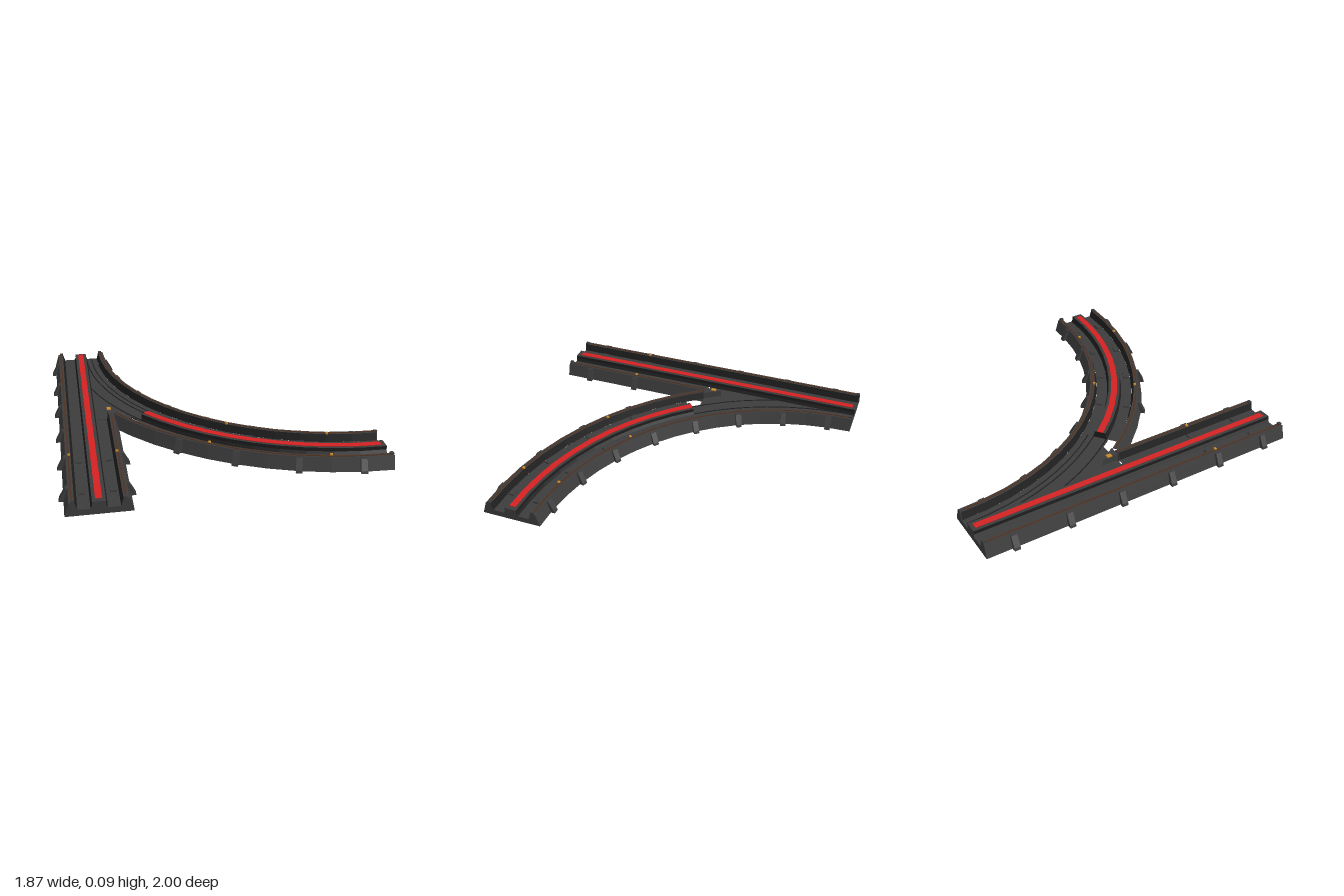
import * as THREE from 'three';

const mat = (name, color) => {
  const m = new THREE.MeshStandardMaterial({ color, side: THREE.DoubleSide });
  m.name = name;
  return m;
};
const DEG = Math.PI / 180;

// Paths: u is the offset across the track, t runs along it
const straight = (u, t) => [-0.73 + u, t];
const curve = (u, a) => [0.93 - (1.66 + u) * Math.cos(a * DEG), -1 + (1.66 + u) * Math.sin(a * DEG)];

export function createModel() {
  const grey = mat('track grey', 0x3c3c3c);
  const black = mat('groove black', 0x1e1e1e);
  const red = mat('stripe red', 0xd42222);
  const brown = mat('rail brown', 0x50301f);
  const gold = mat('contact gold', 0xc98a2a);
  const model = new THREE.Group();

  const addMesh = (name, geometry, material) => {
    const mesh = new THREE.Mesh(geometry, material);
    mesh.name = name;
    model.add(mesh);
  };

  // Sweep a cross-section [u, y] along a path; closed sections get end caps
  function sweep(name, pts, path, t0, t1, steps, material, closed = false) {
    const v = [];
    const put = ([u, y], t) => {
      const [x, z] = path(u, t);
      v.push(x, y, z);
    };
    const edges = closed ? pts.length : pts.length - 1;
    for (let i = 0; i < steps; i++) {
      const a = t0 + (t1 - t0) * i / steps, b = t0 + (t1 - t0) * (i + 1) / steps;
      for (let j = 0; j < edges; j++) {
        const p = pts[j], q = pts[(j + 1) % pts.length];
        put(p, a); put(q, a); put(q, b);
        put(p, a); put(q, b); put(p, b);
      }
    }
    if (closed) {
      const tris = THREE.ShapeUtils.triangulateShape(pts.map(p => new THREE.Vector2(...p)), []);
      for (const f of tris) {
        f.forEach(k => put(pts[k], t0));
        [...f].reverse().forEach(k => put(pts[k], t1));
      }
    }
    const g = new THREE.BufferGeometry();
    g.setAttribute('position', new THREE.Float32BufferAttribute(v, 3));
    g.computeVertexNormals();
    addMesh(name, g, material);
  }
  const block = (name, u0, u1, y0, y1, path, t0, t1, steps, material) =>
    sweep(name, [[u0, y0], [u1, y0], [u1, y1], [u0, y1]], path, t0, t1, steps, material, true);

  // Half cross-section, from the outer foot to the centre slot
  const flip = (pts, s) => pts.map(([u, y]) => [u * s, y]);
  const wall = (path, s, t0, t1, n) => {
    sweep('sideWall', flip([[0.18, 0], [0.155, 0.08], [0.125, 0.08]], s), path, t0, t1, n, grey);
    sweep('wallInnerFace', flip([[0.125, 0.08], [0.112, 0.035]], s), path, t0, t1, n, black);
    block('sideRail', s * 0.135, s * 0.144, 0.079, 0.083, path, t0, t1, n, brown);
  };
  const deck = (path, s, t0, t1, n) =>
    sweep('laneDeck', flip([[0.112, 0.035], [0.045, 0.035]], s), path, t0, t1, n, grey);
  const ridge = (path, s, t0, t1, n) => {
    sweep('ridgeSide', flip([[0.045, 0.035], [0.036, 0.053], [0.036, 0.075]], s), path, t0, t1, n, black);
    sweep('ridgeTop', flip([[0.036, 0.075], [0.018, 0.075]], s), path, t0, t1, n, grey);
  };

  // Straight track
  wall(straight, -1, -1, 1, 1);
  wall(straight, 1, 0, 1, 1);
  deck(straight, -1, -1, 1, 1);
  deck(straight, 1, 0, 1, 1);
  // Curved track
  wall(curve, -1, 0, 90, 16);
  wall(curve, 1, 34, 90, 10);
  for (const s of [-1, 1]) {
    ridge(straight, s, -1, 1, 1);
    deck(curve, s, 38, 90, 10);
    ridge(curve, s, 38, 90, 10);
  }

  // Red centre stripes with grey ends
  block('straightStripe', -0.018, 0.018, 0.069, 0.078, straight, -0.98, 0.97, 1, red);
  block('curvedStripe', -0.019, 0.019, 0.069, 0.078, curve, 38, 89.1, 10, red);
  const slot = [[-0.018, 0.075], [0.018, 0.075]];
  sweep('ridgeEnd', slot, straight, -1, -0.98, 1, grey);
  sweep('ridgeEnd', slot, straight, 0.97, 1, 1, grey);
  sweep('ridgeEnd', slot, curve, 89.1, 90, 1, grey);

  // End plates closing the hollow shell
  const half = [[0.18, 0], [0.155, 0.08], [0.125, 0.08], [0.112, 0.035], [0.045, 0.035],
    [0.036, 0.053], [0.036, 0.075]];
  const full = [...half, ...flip(half, -1).reverse()];
  sweep('endPlate', full, straight, 0.996, 1, 1, grey, true);
  sweep('endPlate', full, straight, -1, -0.996, 1, grey, true);
  sweep('endPlate', full, curve, 89.87, 90, 1, grey, true);
  sweep('junctionWallEnd', half.slice(0, 4).concat([[0.112, 0]]), straight, 0, 0.004, 1, grey, true);
  sweep('curvedRidgeEnd', [...half.slice(4), ...flip(half.slice(4), -1).reverse()],
    curve, 38, 38.12, 1, black, true);
  for (const s of [-1, 1]) {
    block('endNub', s * 0.125, s * 0.145, 0.075, 0.09, straight, 0.98, 1, 1, grey);
    block('endNub', s * 0.125, s * 0.145, 0.075, 0.09, curve, 89.3, 90, 1, grey);
    block('endNub', s * 0.125, s * 0.145, 0.075, 0.09, straight, -1, -0.98, 1, grey);
  }

  // Flat junction plate where the curve leaves the straight
  const flat = (name, pts, y0, y1, material) => {
    const g = new THREE.ExtrudeGeometry(new THREE.Shape(pts.map(([x, z]) => new THREE.Vector2(x, -z))),
      { depth: y1 - y0, bevelEnabled: false });
    g.rotateX(-Math.PI / 2);
    g.translate(0, y0, 0);
    addMesh(name, g, material);
  };
  const innerArc = [];
  for (let i = 0; i <= 10; i++) innerArc.push(curve(-0.113, i * 3.8));
  const outerEdge = [curve(0.05, 38), [-0.46, -0.008]];
  flat('junctionPlate', [[-0.69, -0.996], ...innerArc, ...outerEdge, [-0.69, -0.008]], 0.031, 0.035, grey);
  flat('junctionUnderside', [[-0.84, -0.99], ...innerArc, ...outerEdge, [-0.84, -0.008]], 0.026, 0.031, black);
  // Guide lines across the plate
  block('guideLine', -0.043, -0.037, 0.034, 0.038, curve, 3, 38, 8, black);
  block('guideLine', 0.037, 0.043, 0.034, 0.038, curve, 18, 38, 5, black);
  block('guideLine', -0.078, -0.072, 0.034, 0.037, curve, 0.5, 38, 8, black);
  // Wedge between the two lanes
  flat('junctionWedge', [[-0.61, -0.108], [-0.543, -0.004], [-0.61, -0.004]], 0.03, 0.078, grey);
  block('wedgeContact', 0.118, 0.142, 0.077, 0.084, straight, -0.076, -0.044, 1, gold);

  // Buttresses along the outside walls
  const rib = [[0.15, 0], [0.205, 0], [0.2, 0.015], [0.168, 0.075], [0.15, 0.075]];
  const ribAt = (path, s, t, h) => sweep('buttress', flip(rib, s), path, t - h, t + h, 1, grey, true);
  for (let k = 0; k < 6; k++) {
    const z = -5 / 6 + k / 3;
    ribAt(straight, -1, z, 0.018);
    if (k > 3) ribAt(straight, 1, z, 0.018);
  }
  for (let k = 0; k < 8; k++) {
    const a = 5.625 + 11.25 * k;
    ribAt(curve, -1, a, 0.68);
    if (k > 3) ribAt(curve, 1, a, 0.57);
  }

  // Small pads in the lanes and gold contacts on the walls
  for (const s of [-1, 1]) {
    for (const z of [0.5, 5 / 6])
      block('lanePad', s * 0.067, s * 0.102, 0.034, 0.045, straight, z - 0.024, z + 0.024, 1, grey);
    for (let k = 4; k < 8; k++) {
      const a = 5.625 + 11.25 * k;
      block('lanePad', s * 0.067, s * 0.102, 0.034, 0.045, curve, a - 0.8, a + 0.8, 1, grey);
    }
    block('contact', s * 0.127, s * 0.142, 0.079, 0.09, straight, 0.493, 0.507, 1, gold);
    for (const a of [56.25, 78.75])
      block('contact', s * 0.123, s * 0.138, 0.079, 0.09, curve, a - 0.25, a + 0.25, 1, gold);
  }
  return model;
}
